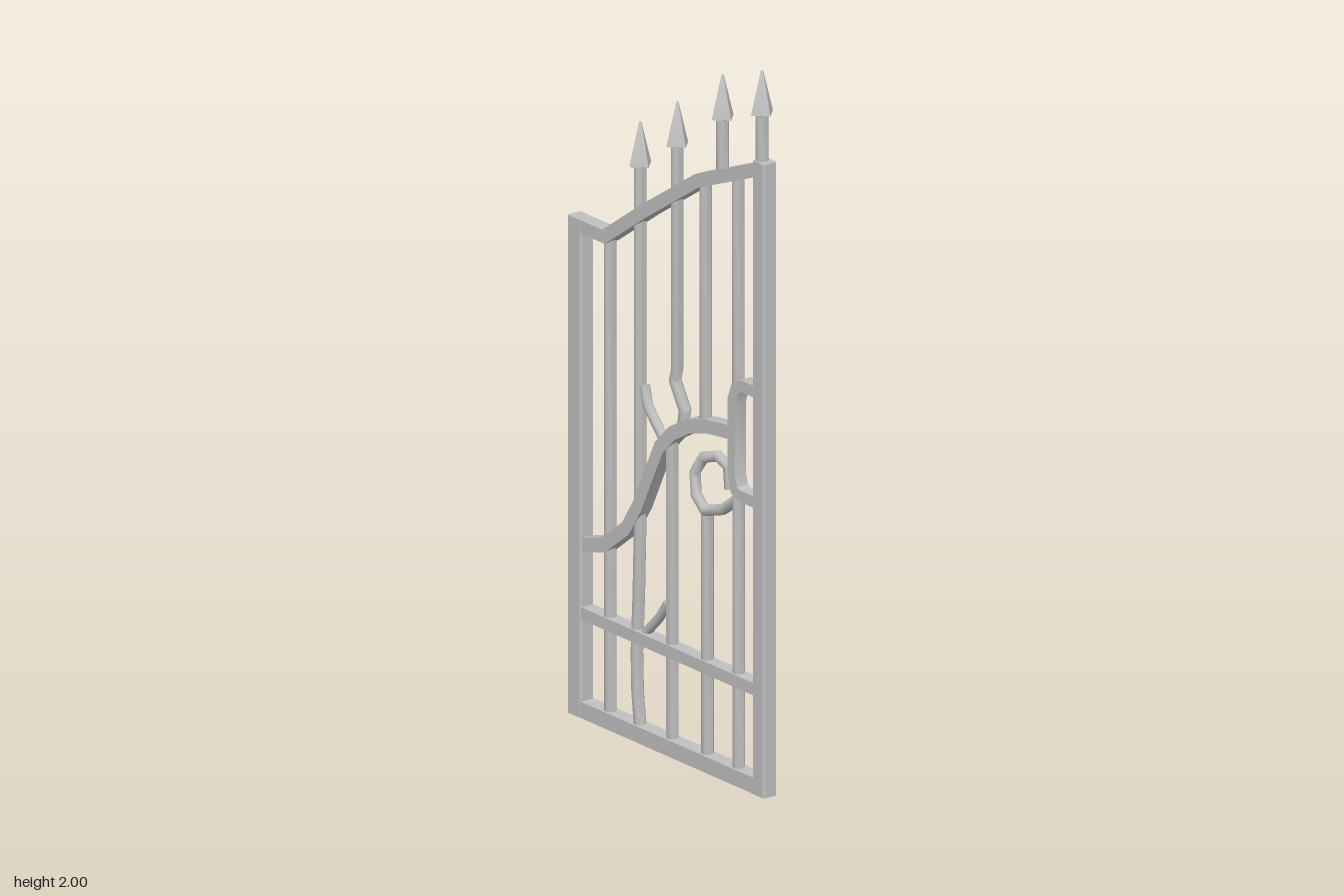
import * as THREE from 'three';
import { toCreasedNormals } from 'three/addons/utils/BufferGeometryUtils.js';

const iron = new THREE.MeshStandardMaterial({ color: 0xc0c0c0 });
iron.name = 'greyIron';

// Flat rail section
function rect(w, d) {
  const x = w / 2, z = d / 2;
  return [[x, -z], [x, z], [-x, z], [-x, -z]];
}

// Post section with narrow chamfers
function chamfered(w, d, c = 0.004) {
  const x = w / 2, z = d / 2;
  return [[x, -z + c], [x, z - c], [x - c, z], [-x + c, z],
    [-x, z - c], [-x, -z + c], [-x + c, -z], [x - c, -z]];
}

// Eight-sided section for the round bars
function round(w) {
  return Array.from({ length: 8 }, (_, i) => {
    const a = ((i + 0.5) / 8) * Math.PI * 2;
    return [Math.cos(a) * w / 2, Math.sin(a) * w / 2];
  });
}

// Sweep a section along a path in the gate plane, with mitred joints and caps
function sweep(path, section, crease = 0.6) {
  const pts = path.map(([x, y, z = 0]) => new THREE.Vector3(x, y, z));
  const n = section.length, pos = [], idx = [];
  const dir = (a, b) => new THREE.Vector2(b.x - a.x, b.y - a.y).normalize();
  pts.forEach((p, i) => {
    const before = dir(pts[Math.max(i - 1, 0)], pts[Math.max(i, 1)]);
    const after = i < pts.length - 1 ? dir(p, pts[i + 1]) : before;
    const t = before.clone().add(after).normalize();
    const mitre = 1 / Math.max(0.6, t.dot(before));
    for (const [u, v] of section) pos.push(p.x - t.y * u * mitre, p.y + t.x * u * mitre, p.z + v);
  });
  for (let i = 0; i < pts.length - 1; i++) {
    for (let j = 0; j < n; j++) {
      const a = i * n + j, b = i * n + (j + 1) % n;
      idx.push(a, b, a + n, b, b + n, a + n);
    }
  }
  const last = (pts.length - 1) * n;
  for (let j = 1; j < n - 1; j++) idx.push(0, j + 1, j, last, last + j, last + j + 1);
  const geo = new THREE.BufferGeometry();
  geo.setAttribute('position', new THREE.Float32BufferAttribute(pos, 3));
  geo.setIndex(idx);
  return toCreasedNormals(geo, crease);
}

export function createModel() {
  const gate = new THREE.Group();
  gate.name = 'gate';
  const add = (name, geo) => {
    const mesh = new THREE.Mesh(geo, iron);
    mesh.name = name;
    gate.add(mesh);
    return mesh;
  };
  const addBar = (name, path, width) => add(name, sweep(path, round(width), 0.95));

  // Outer frame
  const D = 0.044;
  add('hingePost', sweep([[-0.389, 0], [-0.389, 1.375]], chamfered(0.058, D)));
  add('latchPost', sweep([[0.391, 0], [0.391, 1.75]], chamfered(0.049, D)));
  add('bottomRail', sweep([[-0.4, 0.023], [0.4, 0.023]], rect(0.045, D - 0.001)));
  add('middleRail', sweep([[-0.38, 0.289], [0.38, 0.289]], rect(0.034, 0.04)));
  add('topRail', sweep([[-0.4, 1.357], [-0.265, 1.357], [-0.09, 1.48], [0.13, 1.625], [0.4, 1.735]],
    rect(0.036, D - 0.001)));

  // Wavy rail across the middle
  add('waveRail', sweep([[-0.38, 0.472], [-0.27, 0.503], [-0.175, 0.577], [-0.125, 0.655], [-0.035, 0.84],
    [0.02, 0.895], [0.09, 0.935], [0.17, 0.957], [0.28, 0.97]], rect(0.038, 0.036)));

  // Lock loop on the latch post
  add('lockLoop', sweep([[0.385, 1.11], [0.315, 1.11], [0.287, 1.095], [0.274, 1.06], [0.274, 0.85],
    [0.284, 0.815], [0.305, 0.805], [0.385, 0.805]], rect(0.032, 0.036)));

  // Vertical bars, some bent or broken off
  const bars = [
    [[-0.263, 0.03], [-0.263, 1.36]],
    [[-0.135, 0.03], [-0.147, 0.13], [-0.15, 0.24], [-0.142, 0.4], [-0.136, 0.6], [-0.136, 1.6]],
    [[0, 0.03], [0, 0.87]],
    [[0.045, 0.91], [0.054, 0.965], [0.012, 1.035], [0.021, 1.07], [0.021, 1.7]],
    [[0.149, 0.03], [0.149, 0.715]],
    [[0.141, 0.95], [0.141, 1.625]],
    [[0.281, 0.03], [0.281, 0.8]],
    [[0.279, 1.07], [0.279, 1.68]],
    [[0.213, 1.655], [0.213, 1.83]],
    [[0.38, 1.74], [0.38, 1.89]],
  ];
  for (const path of bars) addBar('bar', path, 0.034);

  // Broken twigs
  addBar('upperTwig', [[-0.117, 0.985], [-0.102, 0.93], [-0.02, 0.843]], 0.028);
  addBar('lowerTwig', [[-0.115, 0.3], [-0.055, 0.36], [-0.015, 0.415]], 0.026);

  // Curled scroll, drifting slightly backwards towards its tip
  addBar('scroll', [[0.28, 0.785], [0.215, 0.737], [0.15, 0.717, 0.008], [0.112, 0.75, 0.008],
    [0.096, 0.805], [0.122, 0.853, -0.008], [0.175, 0.87, -0.015], [0.21, 0.848, -0.022],
    [0.215, 0.79, -0.022]], 0.03);

  // Four-sided spear heads
  const profile = [[0, -0.13], [0.036, -0.12], [0.005, -0.006], [0, 0]].map(([r, y]) => new THREE.Vector2(r, y));
  const spear = toCreasedNormals(new THREE.LatheGeometry(profile, 4), 0.6);
  for (const [x, tip] of [[-0.136, 1.71], [0.021, 1.81], [0.213, 1.94], [0.38, 2]]) {
    add('spearHead', spear).position.set(x, tip, 0);
  }
  return gate;
}
